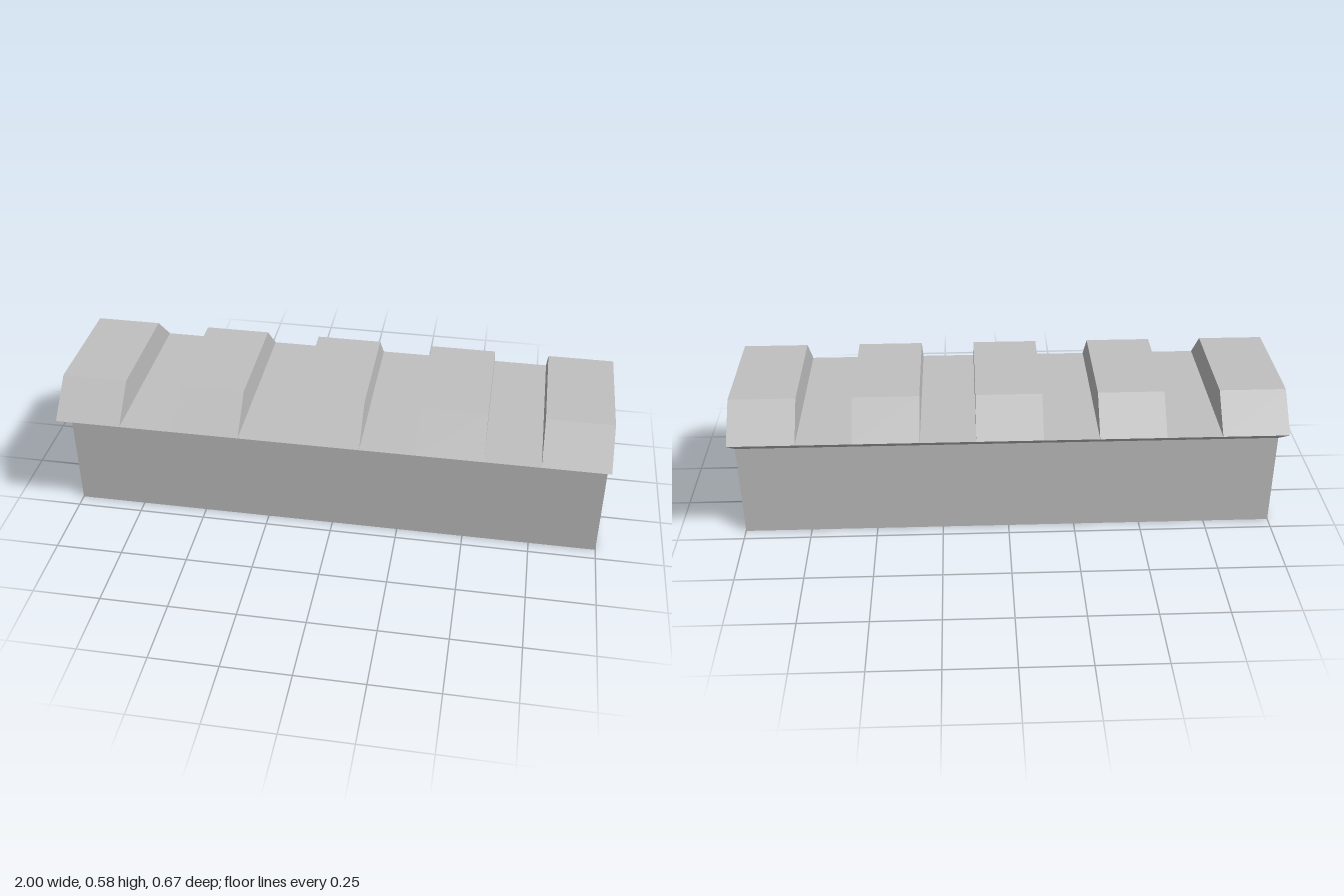
import * as THREE from 'three';

// Extrudes a mirrored half profile of [z, y] points along x, centred on x = 0
function prism(half, length) {
  const points = [
    ...half.map(([z, y]) => new THREE.Vector2(z, y)),
    ...half.slice().reverse().map(([z, y]) => new THREE.Vector2(-z, y)),
  ];
  const geometry = new THREE.ExtrudeGeometry(new THREE.Shape(points), { depth: length, bevelEnabled: false });
  return geometry.translate(0, 0, -length / 2).rotateY(Math.PI / 2);
}

export function createModel() {
  const group = new THREE.Group();
  group.name = 'slottedRail';
  const grey = new THREE.MeshStandardMaterial({ color: 0xc0c0c0, flatShading: true });
  grey.name = 'grey';

  // Stem flaring out to the slot floor
  const rail = new THREE.Mesh(prism([[0.2, 0], [0.2, 0.367], [0.335, 0.459]], 2), grey);
  rail.name = 'railBody';
  group.add(rail);

  // Five evenly spaced teeth with sloped sides
  const toothGeometry = prism([[0.335, 0.459], [0.21, 0.579]], 0.24);
  for (let i = 0; i < 5; i++) {
    const tooth = new THREE.Mesh(toothGeometry, grey);
    tooth.name = `tooth${i + 1}`;
    tooth.position.x = -0.88 + i * 0.44;
    group.add(tooth);
  }
  return group;
}
